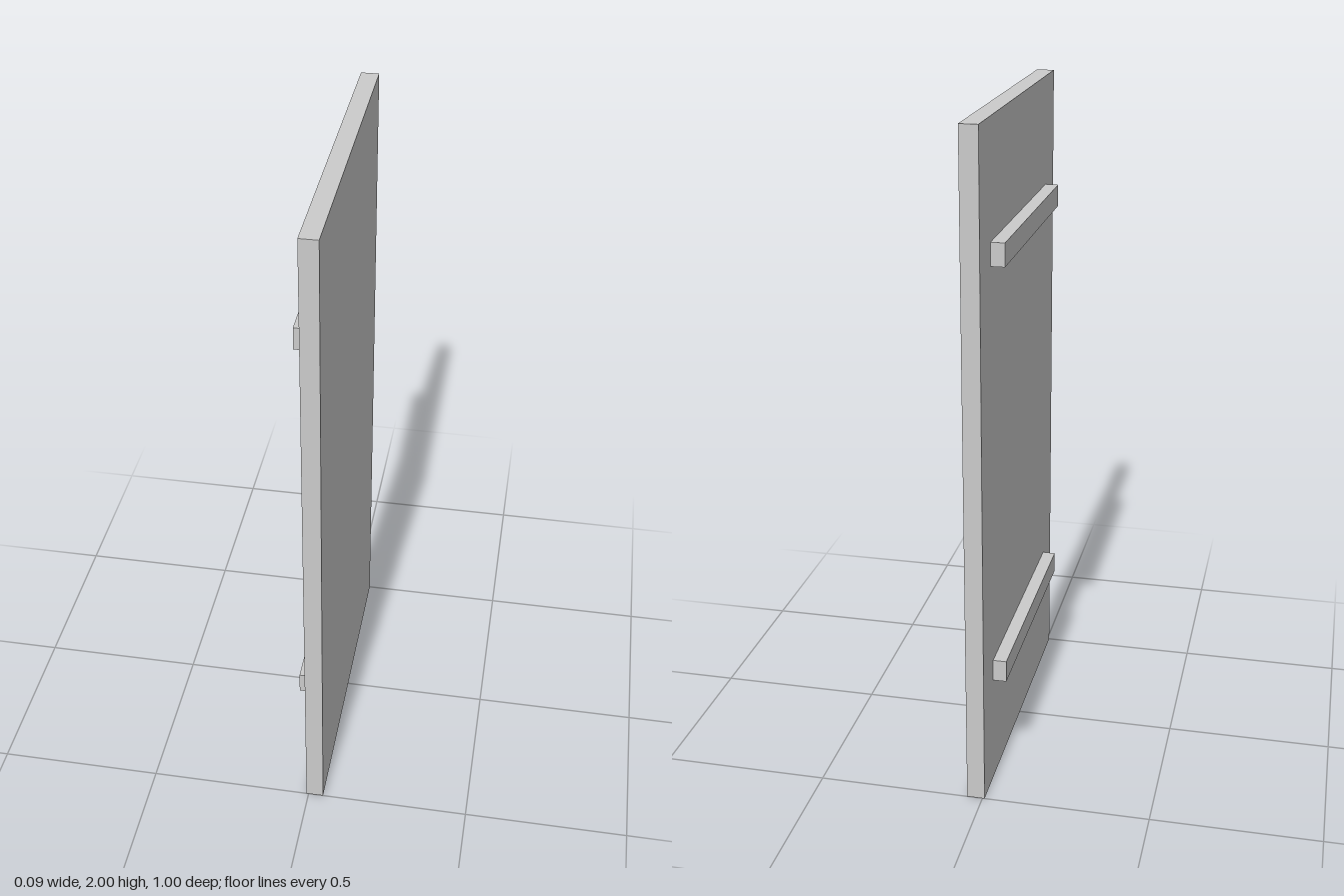
import * as THREE from 'three';

export function createModel() {
  const group = new THREE.Group();
  const material = new THREE.MeshStandardMaterial({ color: 0xcccccc });

  function addBox(name, size, position) {
    const mesh = new THREE.Mesh(new THREE.BoxGeometry(...size), material);
    mesh.name = name;
    mesh.position.set(...position);
    group.add(mesh);
  }

  // Upright flat panel
  addBox('panel', [0.0533, 2, 1], [0.02, 1, 0]);

  // Two horizontal battens on the right face, mirrored about mid-height
  for (const [name, side] of [['lowerBatten', -1], ['upperBatten', 1]]) {
    addBox(name, [0.04, 0.0667, 0.755], [-0.0267, 1 + side * 0.6333, 0]);
  }

  return group;
}
